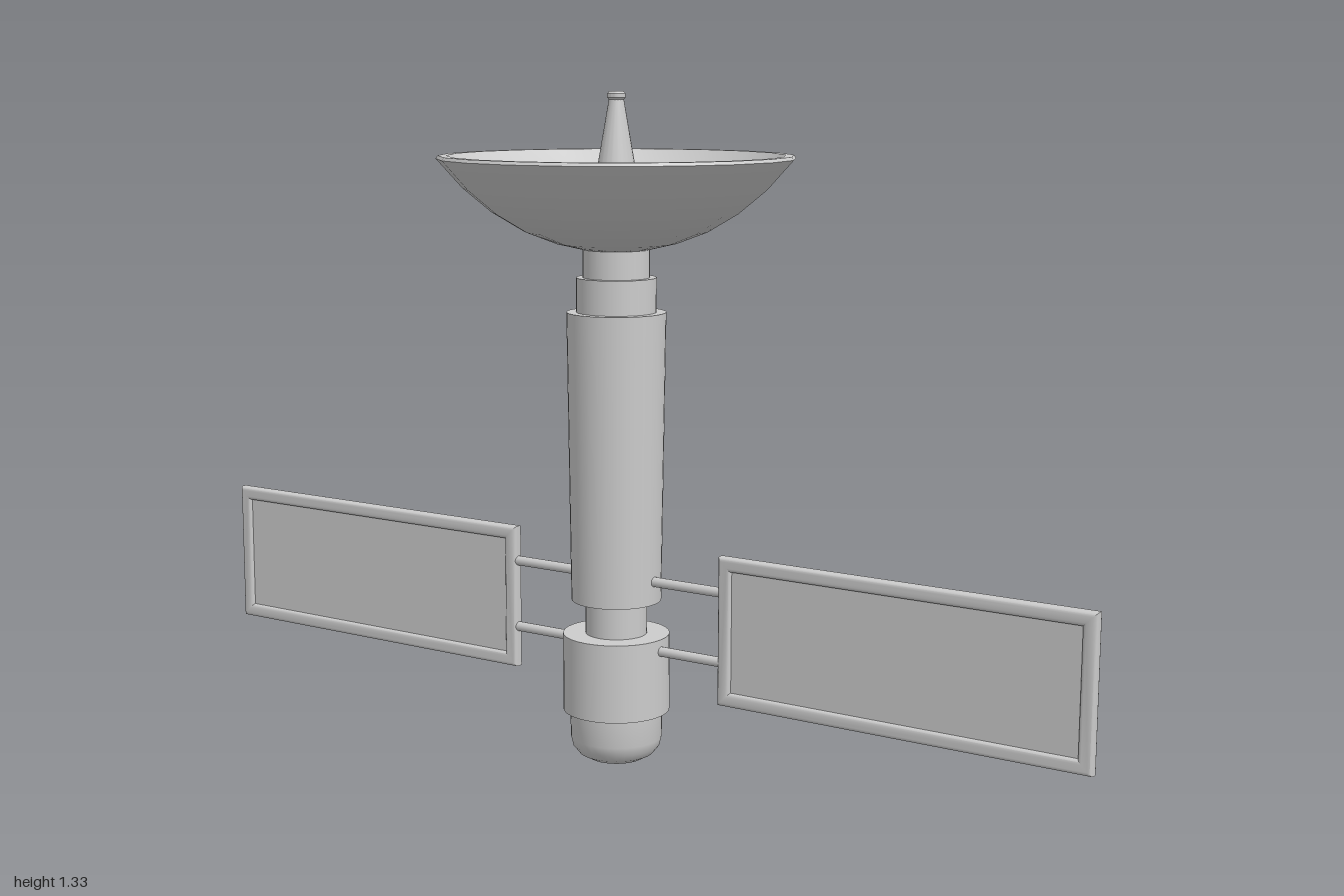
import * as THREE from 'three';
import { toCreasedNormals } from 'three/addons/utils/BufferGeometryUtils.js';

const material = new THREE.MeshStandardMaterial({ color: 0xcccccc });

export function createModel() {
  const model = new THREE.Group();
  model.name = 'satellite';

  const add = (name, geometry, parent = model) => {
    const mesh = new THREE.Mesh(geometry, material);
    mesh.name = name;
    parent.add(mesh);
    return mesh;
  };
  // Upright cylinder or cone between two heights
  const drum = (name, rBottom, rTop, y0, y1, sides = 32) => {
    const mesh = add(name, new THREE.CylinderGeometry(rTop, rBottom, y1 - y0, sides));
    mesh.position.y = (y0 + y1) / 2;
    return mesh;
  };
  // Turned part from [radius, height] pairs, keeping sharp corners
  const turned = (name, pairs, sides, crease) => add(name, toCreasedNormals(
    new THREE.LatheGeometry(pairs.map(([r, y]) => new THREE.Vector2(r, y)), sides), crease));

  // Body, from the bottom up
  turned('roundedBase', [[0, 0], [0.03, 0.002], [0.055, 0.009], [0.075, 0.02],
    [0.087, 0.035], [0.091, 0.052], [0.092, 0.11]], 32, 0.7);
  drum('lowerRing', 0.106, 0.106, 0.108, 0.264);
  drum('lowerNeck', 0.061, 0.061, 0.264, 0.332);
  drum('mainBody', 0.089, 0.097, 0.332, 0.903);
  drum('upperCollar', 0.078, 0.078, 0.903, 0.97);
  drum('upperNeck', 0.065, 0.065, 0.97, 1.04);

  // Dish: outer bowl, flat rim, inner bowl
  turned('dish', [[0, 1.022], [0.065, 1.024], [0.12, 1.037], [0.18, 1.06], [0.24, 1.096],
    [0.295, 1.142], [0.345, 1.198], [0.341, 1.204], [0.325, 1.204], [0.28, 1.153],
    [0.23, 1.112], [0.17, 1.077], [0.11, 1.053], [0.06, 1.042], [0, 1.04]], 20, 0.6);

  // Feed antenna
  drum('feedCone', 0.062, 0.014, 1.035, 1.312, 20);
  turned('feedTip', [[0, 1.308], [0.014, 1.308], [0.018, 1.313], [0.018, 1.32],
    [0.014, 1.325], [0, 1.325]], 16, 0.5);

  // Solar wings
  const rect = (Type, x0, x1, y0, y1) => new Type([
    new THREE.Vector2(x0, y0), new THREE.Vector2(x1, y0),
    new THREE.Vector2(x1, y1), new THREE.Vector2(x0, y1)]);
  const bevel = 0.008;
  for (const [side, s] of [['left', 1], ['right', -1]]) {
    const wing = new THREE.Group();
    wing.name = side + 'SolarWing';
    model.add(wing);

    // Frame with rounded edges
    const shape = rect(THREE.Shape, -0.38, 0.38, -0.147, 0.147);
    shape.holes.push(rect(THREE.Path, -0.352, 0.352, -0.119, 0.119));
    const frameGeo = new THREE.ExtrudeGeometry(shape, {
      depth: 0.01, bevelEnabled: true, bevelSize: bevel, bevelOffset: -bevel,
      bevelThickness: bevel, bevelSegments: 3 });
    frameGeo.translate(0, 0, -0.005);
    const frame = add('panelFrame', toCreasedNormals(frameGeo, 0.7), wing);
    const panel = add('solarPanel', new THREE.BoxGeometry(0.72, 0.254, 0.01), wing);
    frame.position.set(s * 0.62, 0.303, 0);
    panel.position.copy(frame.position);

    // Struts joining the wing to the body
    for (const y of [0.378, 0.24]) {
      const strut = add('strut', new THREE.CylinderGeometry(0.01, 0.01, 0.2, 12), wing);
      strut.rotation.z = Math.PI / 2;
      strut.position.set(s * 0.15, y, 0);
    }
  }
  return model;
}
